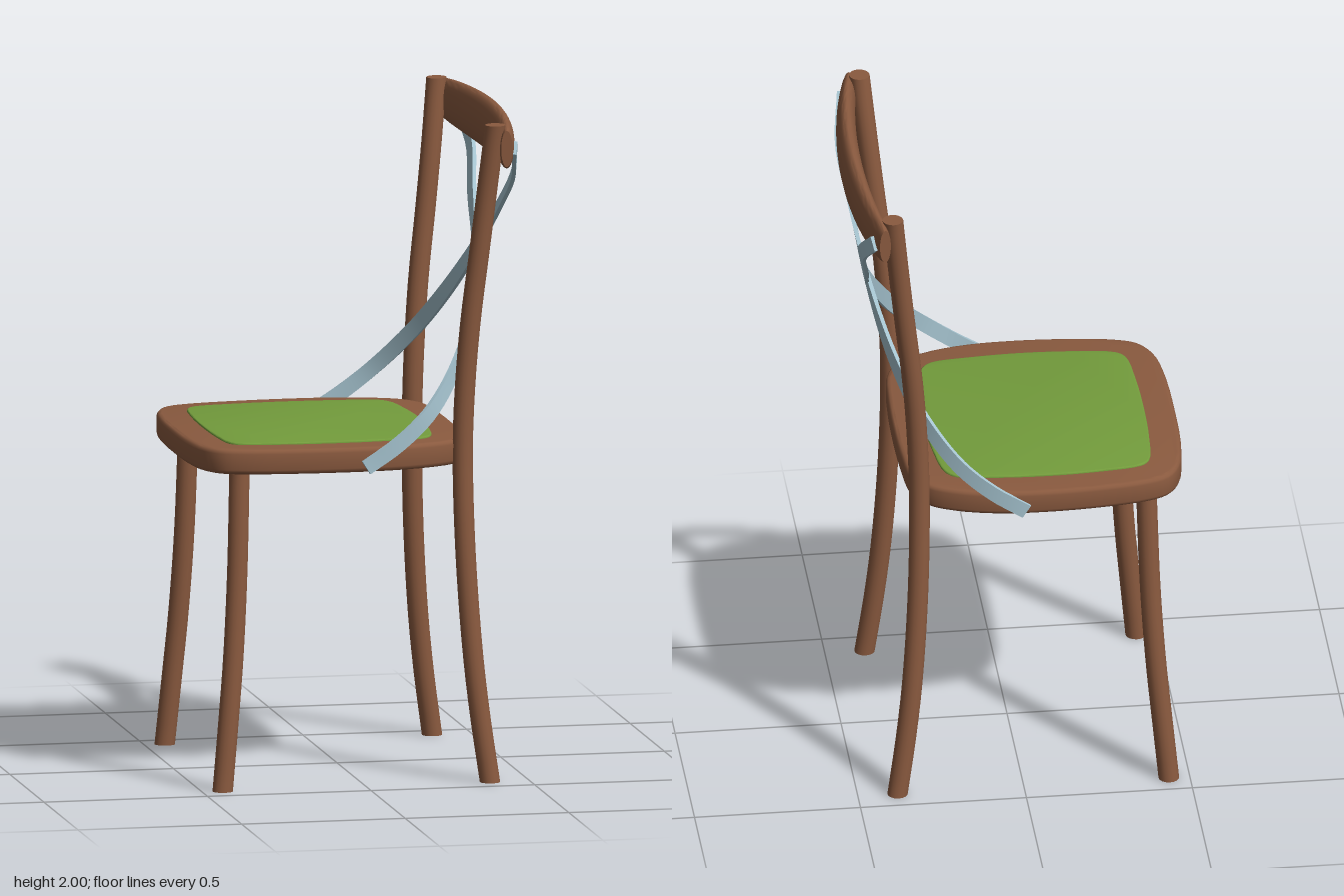
import * as THREE from 'three';
import { toCreasedNormals } from 'three/addons/utils/BufferGeometryUtils.js';

const V = (x, y, z) => new THREE.Vector3(x, y, z);
const X = V(1, 0, 0), Y = V(0, 1, 0), Z = V(0, 0, 1);

// Sweep a closed section along a smooth path; axes(p, tangent) gives the section's two directions
function sweep(points, steps, axes, section) {
  const curve = new THREE.CatmullRomCurve3(points);
  const pos = [], idx = [];
  let n = 0;
  for (let i = 0; i <= steps; i++) {
    const t = i / steps, p = curve.getPointAt(t);
    const [u, v] = axes(p, curve.getTangentAt(t));
    const ring = section(t);
    n = ring.length;
    for (const [a, b] of ring) {
      pos.push(...p.clone().addScaledVector(u, a).addScaledVector(v, b).toArray());
    }
  }
  for (let i = 0; i < steps; i++) {
    for (let j = 0; j < n; j++) {
      const k = (j + 1) % n, a = i * n, b = a + n;
      idx.push(a + j, a + k, b + k, a + j, b + k, b + j);
    }
  }
  const last = steps * n;
  for (let j = 1; j < n - 1; j++) {
    idx.push(0, j + 1, j, last, last + j, last + j + 1);
  }
  const geo = new THREE.BufferGeometry();
  geo.setAttribute('position', new THREE.Float32BufferAttribute(pos, 3));
  geo.setIndex(idx);
  return toCreasedNormals(geo, 0.65);
}

const ellipse = (a, b, n) => Array.from({ length: n }, (_, i) => {
  const t = (i / n) * Math.PI * 2;
  return [a * Math.cos(t), b * Math.sin(t)];
});

// Rounded slab from half an outline (mirrored in z), hanging down from y = top
function slab(half, top, depth, bevel) {
  const mirrored = half.slice(1, -1).reverse().map(([x, z]) => [x, -z]);
  const loop = [...half, ...mirrored].map(([x, z]) => V(x, z, 0));
  const curve = new THREE.CatmullRomCurve3(loop, true);
  const pts = curve.getPoints(80).slice(0, -1).map((p) => new THREE.Vector2(p.x, p.y));
  const geo = new THREE.ExtrudeGeometry(new THREE.Shape(pts), {
    depth: depth - 2 * bevel, bevelEnabled: true, bevelThickness: bevel,
    bevelSize: bevel, bevelOffset: -bevel, bevelSegments: 3,
  });
  geo.rotateX(Math.PI / 2).translate(0, top - bevel, 0);
  return toCreasedNormals(geo, 0.65);
}

export function createModel() {
  const group = new THREE.Group();
  const mat = (name, color) => {
    const m = new THREE.MeshStandardMaterial({ color });
    m.name = name;
    return m;
  };
  const wood = mat('brown wood', 0x8a5a3f);
  const green = mat('green cushion', 0x739c3c);
  const metal = mat('pale blue metal', 0xa5c3cf);
  const add = (name, geo, material) => {
    const mesh = new THREE.Mesh(geo, material);
    mesh.name = name;
    mesh.position.z = -0.005;
    group.add(mesh);
  };

  // Seat frame and inset cushion
  add('seatFrame', slab([
    [-0.505, 0], [-0.5, 0.2], [-0.48, 0.33], [-0.44, 0.395], [-0.37, 0.425], [-0.22, 0.446],
    [-0.06, 0.453], [0.08, 0.445], [0.2, 0.416], [0.285, 0.37], [0.327, 0.3], [0.341, 0.17], [0.345, 0],
  ], 1.033, 0.076, 0.014), wood);
  add('seatCushion', slab([
    [-0.412, 0], [-0.407, 0.18], [-0.392, 0.305], [-0.365, 0.334], [-0.24, 0.354], [-0.08, 0.362],
    [0.08, 0.354], [0.19, 0.338], [0.223, 0.305], [0.245, 0.18], [0.255, 0],
  ], 1.039, 0.016, 0.004), green);

  // Curved legs: the rear pair carries on up to the back rail
  const front = [
    [-0.437, 0, 0.425], [-0.418, 0.2, 0.415], [-0.4, 0.4, 0.403], [-0.385, 0.65, 0.388], [-0.375, 0.98, 0.375],
  ];
  const rear = [
    [0.38, 0, 0.425], [0.352, 0.2, 0.415], [0.331, 0.4, 0.404], [0.313, 0.7, 0.386], [0.308, 1, 0.371],
    [0.315, 1.2, 0.373], [0.33, 1.4, 0.383], [0.353, 1.6, 0.395], [0.375, 1.8, 0.41], [0.395, 1.995, 0.432],
  ];
  // Flat straps from the seat side, round the rear leg, to the opposite end of the rail
  const strap = [
    [-0.005, 0.972, 0.457], [0.1, 1.04, 0.447], [0.2, 1.125, 0.415], [0.3, 1.25, 0.32], [0.37, 1.385, 0.19],
    [0.423, 1.55, 0], [0.452, 1.7, -0.19], [0.473, 1.82, -0.315], [0.452, 1.925, -0.445],
  ];
  const strapSection = [[-0.006, -0.023], [0.006, -0.023], [0.006, 0.023], [-0.006, 0.023]];
  const strapAxes = (side) => (p, t) => {
    const out = V(Math.max(p.x, 0), 0, side * Math.max(p.z * side, -0.15));
    out.addScaledVector(t, -out.dot(t)).normalize();
    return [out, t.clone().cross(out)];
  };
  for (const [side, label] of [[1, 'Left'], [-1, 'Right']]) {
    const flip = (pts) => pts.map(([x, y, z]) => V(x, y, z * side));
    const legSection = (t) => ellipse(0.031, 0.031, 16);
    add('frontLeg' + label, sweep(flip(front), 16, () => [Z, X], legSection), wood);
    add('rearLeg' + label, sweep(flip(rear), 32, () => [Z, X], legSection), wood);
    add('backStrap' + label, sweep(flip(strap), 48, strapAxes(side), () => strapSection), metal);
  }

  // Bowed back rail, thinner towards its ends
  const rail = [
    [0.422, 1.927, -0.472], [0.448, 1.922, -0.32], [0.464, 1.92, -0.16], [0.469, 1.92, 0],
    [0.464, 1.92, 0.16], [0.448, 1.922, 0.32], [0.422, 1.927, 0.472],
  ].map((p) => V(...p));
  add('backRail', sweep(rail, 32, (p, t) => [Y.clone().cross(t).normalize(), Y], (t) => {
    const bulge = Math.sqrt(Math.max(0, Math.sin(Math.PI * t)));
    return ellipse(0.017 + 0.015 * bulge, 0.055 + 0.025 * bulge, 32);
  }), wood);

  return group;
}
